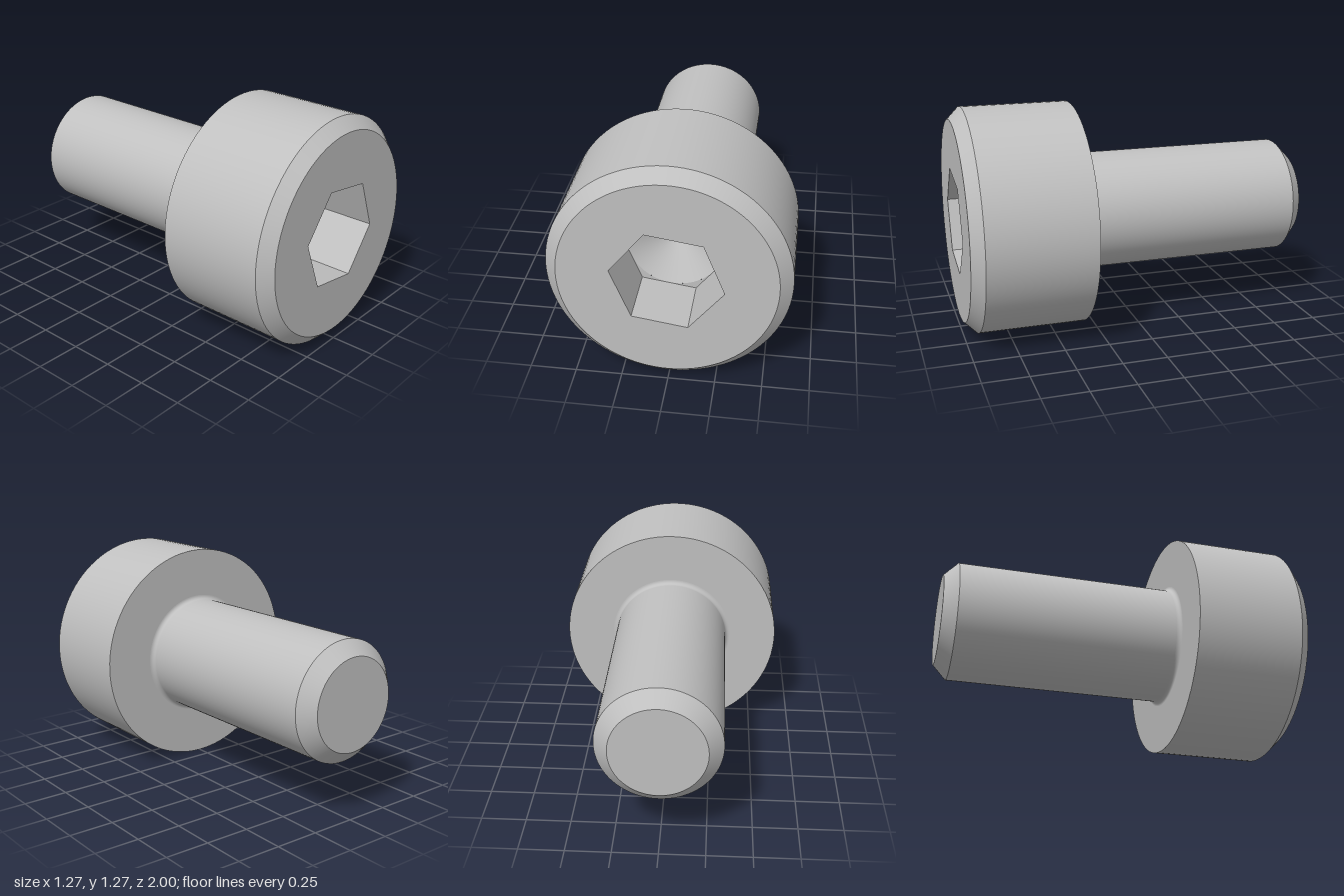
import * as THREE from 'three';
import { mergeGeometries } from 'three/addons/utils/BufferGeometryUtils.js';

const SEG = 96;
const HEX_R = 0.298, HEX_TURN = -0.152, CONE_R = 0.256;
const HEAD_BACK = 0.333, SOCKET_FLOOR = 0.665;

// Surface of revolution about z from [radius, z] points
function turn(points) {
  const pts = points.map(([r, z]) => new THREE.Vector2(r, z));
  return new THREE.LatheGeometry(pts, SEG).rotateX(Math.PI / 2);
}

// Each straight run is turned separately so the edges stay sharp
function turnSharp(points) {
  return points.slice(1).map((p, i) => turn([points[i], p]));
}

function hexPoints() {
  return Array.from({ length: 6 }, (_, i) => {
    const a = HEX_TURN + i * Math.PI / 3;
    return new THREE.Vector2(HEX_R * Math.cos(a), HEX_R * Math.sin(a));
  });
}

export function createModel() {
  const group = new THREE.Group();
  const steel = new THREE.MeshStandardMaterial({ color: 0xc0c0c0 });
  steel.name = 'steel grey';
  const add = (name, geometry) => {
    const mesh = new THREE.Mesh(geometry, steel);
    mesh.name = name;
    mesh.position.y = 0.635;
    group.add(mesh);
  };

  // Shank with chamfered tip
  add('shank', mergeGeometries(turnSharp([
    [0, -1], [0.256, -1], [0.333, -0.923], [0.333, 0.308],
  ])));

  // Rounded fillet under the head
  const arc = Array.from({ length: 9 }, (_, i) => {
    const a = Math.PI - i * Math.PI / 16;
    return [0.358 + 0.025 * Math.cos(a), 0.308 + 0.025 * Math.sin(a)];
  });
  add('fillet', turn(arc));

  // Head: underside, side and chamfer
  add('head', mergeGeometries(turnSharp([
    [0.358, HEAD_BACK], [0.635, HEAD_BACK], [0.635, 0.933], [0.568, 1],
  ])));

  // Front face with hexagonal opening
  const face = new THREE.Shape().absarc(0, 0, 0.568, 0, Math.PI * 2, false);
  face.holes.push(new THREE.Path(hexPoints()));
  add('headFace', new THREE.ShapeGeometry(face, SEG).translate(0, 0, 1));

  // Socket walls, mirrored so that they face inwards
  const depth = 1 - SOCKET_FLOOR;
  const walls = new THREE.CylinderGeometry(HEX_R, HEX_R, depth, 6, 1, true, -(HEX_TURN + Math.PI / 2))
    .rotateX(Math.PI / 2)
    .scale(-1, 1, 1)
    .translate(0, 0, 1 - depth / 2);
  // Swap two corners of each triangle to undo any reversal by the mirror, then pick the inward winding
  const flat = walls.toNonIndexed();
  flat.computeVertexNormals();
  add('socketWalls', flat);

  // Socket floor corners around the drilled cone
  const floor = new THREE.Shape(hexPoints());
  floor.holes.push(new THREE.Path().absarc(0, 0, CONE_R, 0, Math.PI * 2, true));
  add('socketFloor', new THREE.ShapeGeometry(floor, SEG).translate(0, 0, SOCKET_FLOOR));

  // Drilled cone at the bottom of the socket
  add('socketCone', turn([[CONE_R, SOCKET_FLOOR], [0, SOCKET_FLOOR - 0.148]]));

  return group;
}
